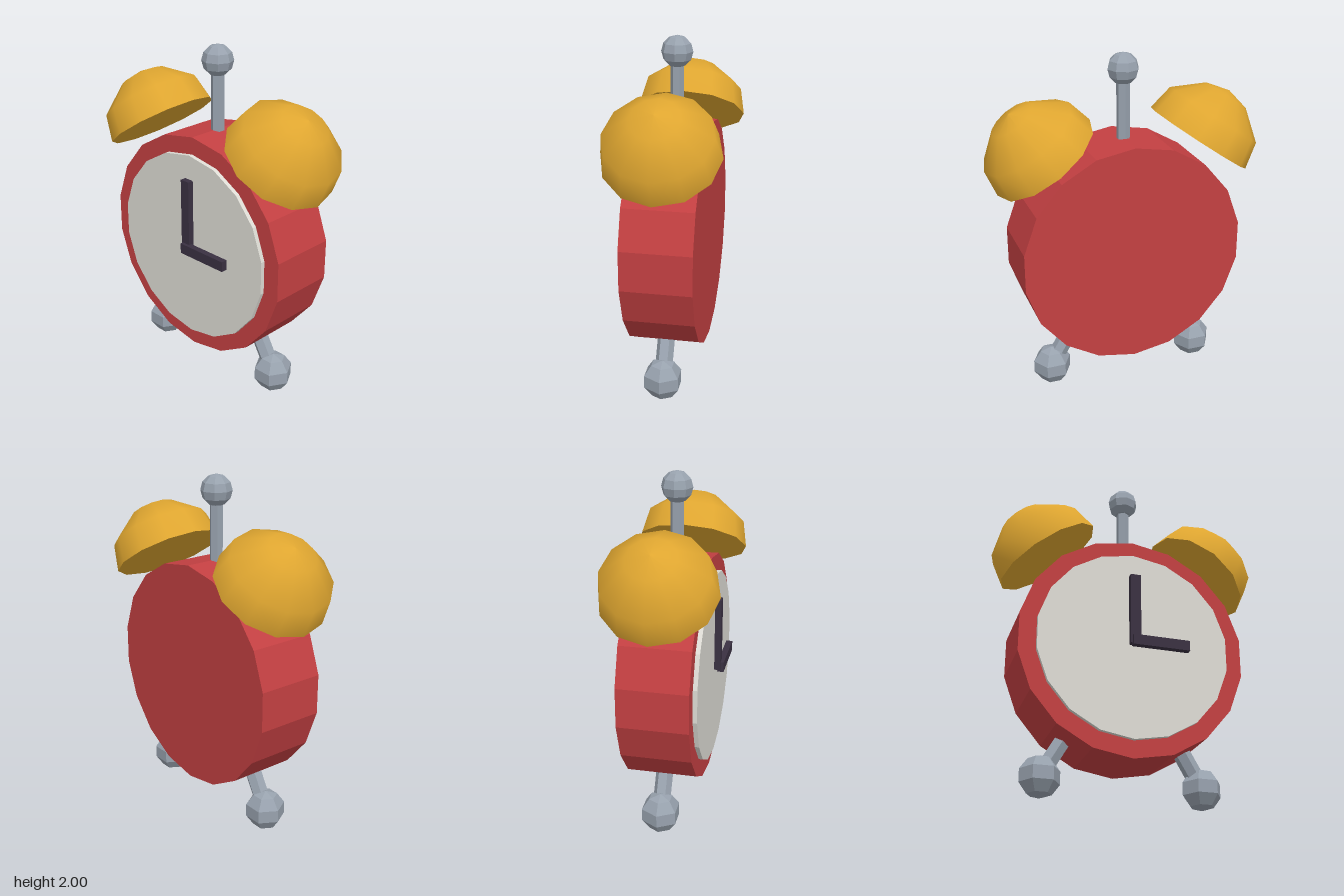
import * as THREE from 'three';

function material(name, color, flatShading = true) {
  const m = new THREE.MeshStandardMaterial({ color, flatShading });
  m.name = name;
  return m;
}

export function createModel() {
  const group = new THREE.Group();
  group.name = 'alarmClock';
  const red = material('red', 0xc44042);
  const cream = material('cream', 0xdedcd5);
  const steel = material('steel', 0x98a2ae);
  const dark = material('dark', 0x3a3142);
  const gold = material('gold', 0xdfa630, false);

  const add = (name, geometry, mat, x, y, z, parent = group) => {
    const mesh = new THREE.Mesh(geometry, mat);
    mesh.name = name;
    mesh.position.set(x, y, z);
    parent.add(mesh);
    return mesh;
  };
  // 18-sided disc with its axis along z
  const disc = (r, depth) => new THREE.CylinderGeometry(r, r, depth, 18).rotateX(Math.PI / 2);

  // Case and dial
  add('case', disc(0.658, 0.4), red, 0, 0.858, 0);
  add('dial', disc(0.558, 0.035), cream, 0, 0.858, 0.2075);

  // Hands
  add('minuteHand', new THREE.BoxGeometry(0.06, 0.43, 0.035), dark, 0, 1.06, 0.244);
  add('hourHand', new THREE.BoxGeometry(0.33, 0.06, 0.037), dark, 0.145, 0.86, 0.262);

  // Top hammer
  add('hammerStem', new THREE.CylinderGeometry(0.038, 0.038, 0.45, 6), steel, 0, 1.665, 0);
  add('hammerKnob', new THREE.SphereGeometry(0.09, 8, 6), steel, 0, 1.91, 0);

  // Closed half-dome bells, legs and feet on both sides
  const domeProfile = [[0.327, 0], [0.296, 0.157], [0.136, 0.291], [0, 0.325]]
    .map(([r, y]) => new THREE.Vector2(r, y));
  for (const [side, s] of [['left', 1], ['right', -1]]) {
    const bell = new THREE.Group();
    bell.name = side + 'Bell';
    bell.position.set(s * 0.463, 1.4535, 0);
    bell.rotation.z = -s * THREE.MathUtils.degToRad(35);
    group.add(bell);
    add(side + 'BellDome', new THREE.LatheGeometry(domeProfile, 12), gold, 0, 0, 0, bell);
    add(side + 'BellBase', new THREE.CircleGeometry(0.327, 12).rotateX(Math.PI / 2), gold, 0, 0, 0, bell);

    const leg = add(side + 'Leg', new THREE.CylinderGeometry(0.05, 0.05, 0.34, 6), steel, s * 0.375, 0.27, 0);
    leg.rotation.z = s * Math.PI / 6;
    add(side + 'Foot', new THREE.SphereGeometry(0.118, 6, 5), steel, s * 0.46, 0.118, 0);
  }
  return group;
}
